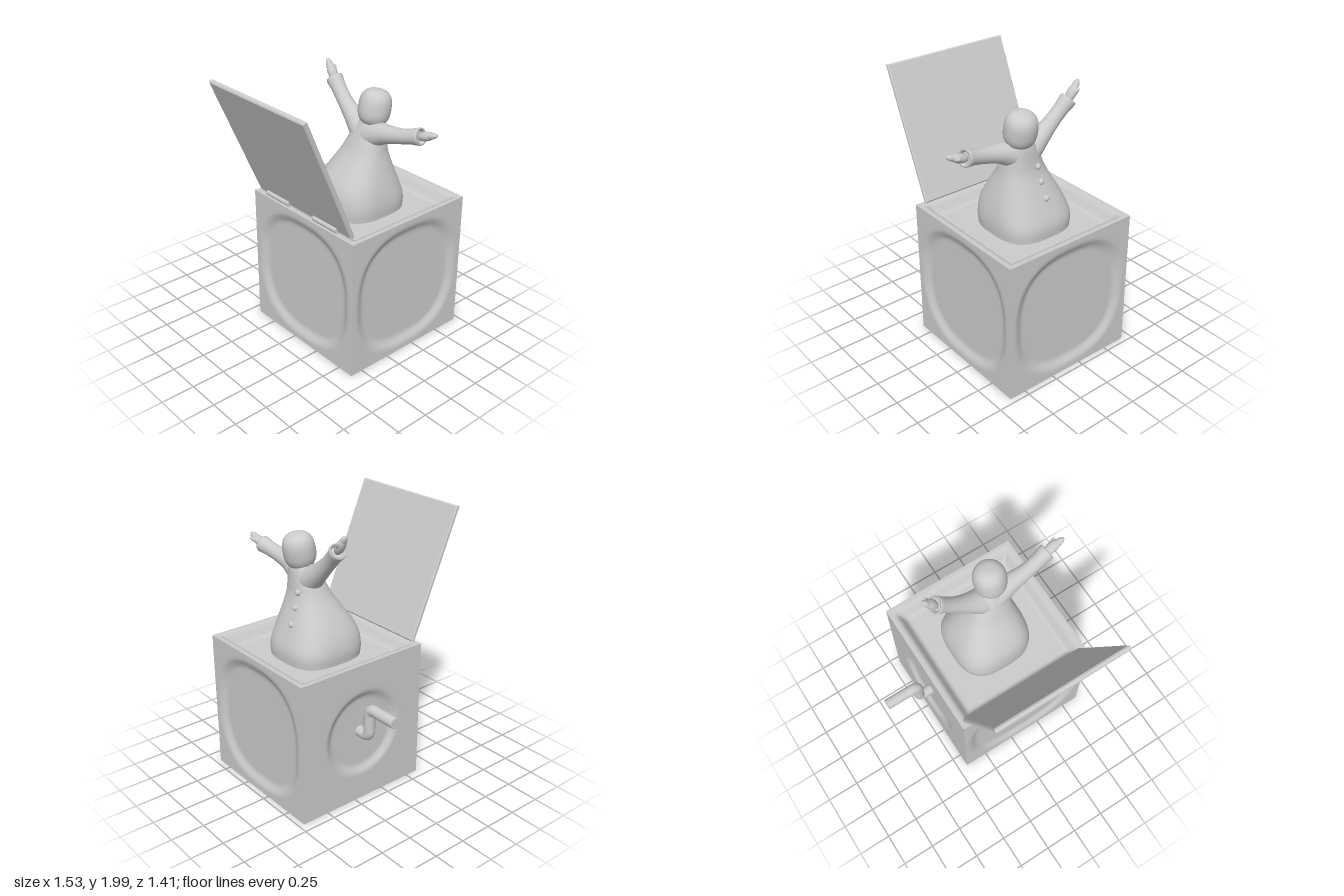
import * as THREE from 'three';

const grey = new THREE.MeshStandardMaterial({ color: 0xcccccc });
const V = (x, y, z) => new THREE.Vector3(x, y, z);

function part(parent, name, geometry, x = 0, y = 0, z = 0) {
  const mesh = new THREE.Mesh(geometry, grey);
  mesh.name = name;
  mesh.position.set(x, y, z);
  parent.add(mesh);
  return mesh;
}

// Smooth closed skin through rings of points, capped at both ends
function loft(rows) {
  const n = rows[0].length, pos = [], idx = [];
  rows.forEach(row => row.forEach(p => pos.push(p.x, p.y, p.z)));
  for (let i = 0; i < rows.length - 1; i++) {
    for (let j = 0; j < n; j++) {
      const k = (j + 1) % n, a = i * n + j, b = i * n + k;
      idx.push(a, b, a + n, b, b + n, a + n);
    }
  }
  [rows[0], rows[rows.length - 1]].forEach((row, end) => {
    const base = pos.length / 3, mid = V(0, 0, 0);
    row.forEach(p => { mid.addScaledVector(p, 1 / n); pos.push(p.x, p.y, p.z); });
    pos.push(mid.x, mid.y, mid.z);
    for (let j = 0; j < n; j++) {
      const a = base + j, b = base + (j + 1) % n;
      if (end) idx.push(a, b, base + n); else idx.push(b, a, base + n);
    }
  });
  const g = new THREE.BufferGeometry();
  g.setAttribute('position', new THREE.Float32BufferAttribute(pos, 3));
  g.setIndex(idx);
  g.computeVertexNormals();
  return g;
}

// Round sweep along a curve; stations are [t, radius]
function sweep(curve, stations, n = 28) {
  const frames = curve.computeFrenetFrames(100);
  return loft(stations.map(([t, r]) => {
    const f = Math.round(t * 100), c = curve.getPointAt(t);
    return Array.from({ length: n }, (_, j) => {
      const a = j / n * Math.PI * 2;
      return c.clone().addScaledVector(frames.normals[f], r * Math.cos(a))
        .addScaledVector(frames.binormals[f], r * Math.sin(a));
    });
  }));
}

// Square face of the box pushed inwards by a depth rule
const SIDE = 1.06;
function panel(depth) {
  const g = new THREE.PlaneGeometry(SIDE, SIDE, 60, 60);
  const p = g.attributes.position;
  for (let i = 0; i < p.count; i++) p.setZ(i, SIDE / 2 - depth(Math.abs(p.getX(i)), Math.abs(p.getY(i))));
  g.computeVertexNormals();
  return g;
}
const dent = (outer, inner, deep, power) => (u, v) =>
  deep * (1 - THREE.MathUtils.smoothstep((u ** power + v ** power) ** (1 / power), inner, outer));

function makeBox() {
  const box = new THREE.Group();
  box.name = 'box';
  box.position.set(0.1, SIDE / 2, -0.18);
  const wide = panel(dent(0.49, 0.41, 0.03, 2.6));
  part(box, 'frontPanel', wide);
  part(box, 'backPanel', wide).rotation.y = Math.PI;
  part(box, 'leftPanel', wide).rotation.y = Math.PI / 2;
  part(box, 'rightPanel', panel(dent(0.33, 0.26, 0.03, 2))).rotation.y = -Math.PI / 2;
  const tray = (u, v) => 0.085 * (1 - THREE.MathUtils.smoothstep(Math.max(u, v), 0.42, 0.49));
  part(box, 'topTray', panel(tray)).rotation.x = -Math.PI / 2;
  part(box, 'bottom', panel(() => 0)).rotation.x = Math.PI / 2;
  return box;
}

function makeLid() {
  const lid = new THREE.Group();
  lid.name = 'lidAssembly';
  // Bevelled board leaning forwards
  const b = 0.009, w = 0.49 - b, h = 0.4975 - b;
  const outline = new THREE.Shape([[-w, -h], [w, -h], [w, h], [-w, h]].map(p => new THREE.Vector2(...p)));
  const board = new THREE.ExtrudeGeometry(outline,
    { depth: 0.034 - 2 * b, bevelSize: b, bevelThickness: b, bevelSegments: 1 });
  board.translate(0, 0, b - 0.017);
  part(lid, 'lid', board, 0.09, 1.532, 0.497).rotation.x = 0.403;
  // Hinge barrels
  for (const x of [-0.175, 0.33]) {
    part(lid, 'hinge', new THREE.CylinderGeometry(0.022, 0.022, 0.24, 16), x, 1.085, 0.325).rotation.z = Math.PI / 2;
  }
  return lid;
}

function makeCrank() {
  const z = -0.19, path = new THREE.CurvePath(), r = 0.05;
  const pts = [V(-0.38, 0.54, z), V(-0.505, 0.54, z), V(-0.505, 0.758, z), V(-0.765, 0.758, z)];
  const toward = (a, b) => a.clone().addScaledVector(b.clone().sub(a).normalize(), r);
  let from = pts[0];
  for (let i = 1; i < 3; i++) {
    const before = toward(pts[i], pts[i - 1]), after = toward(pts[i], pts[i + 1]);
    path.add(new THREE.LineCurve3(from, before));
    path.add(new THREE.QuadraticBezierCurve3(before, pts[i], after));
    from = after;
  }
  path.add(new THREE.LineCurve3(from, pts[3]));
  return sweep(path, Array.from({ length: 51 }, (_, i) => [i / 50, 0.04]), 24);
}

// Robe: rounded-square base narrowing to the neck
function makeRobe() {
  const rings = [ // y, centre x, centre z, half width, half depth, squareness
    [0.965, 0.09, -0.19, 0.28, 0.285, 3], [1.07, 0.09, -0.187, 0.285, 0.287, 3],
    [1.2, 0.1, -0.178, 0.255, 0.25, 2.8], [1.4, 0.13, -0.202, 0.175, 0.15, 2.4],
    [1.5, 0.145, -0.217, 0.145, 0.118, 2.2], [1.6, 0.16, -0.235, 0.112, 0.092, 2],
    [1.68, 0.175, -0.25, 0.06, 0.055, 2]];
  const centres = new THREE.CatmullRomCurve3(rings.map(r => V(r[1], r[0], r[2])), false, 'catmullrom');
  const sizes = new THREE.CatmullRomCurve3(rings.map(r => V(r[3], r[4], r[5])), false, 'catmullrom');
  const rows = [];
  for (let i = 0; i <= 36; i++) {
    const c = centres.getPoint(i / 36), s = sizes.getPoint(i / 36);
    rows.push(Array.from({ length: 64 }, (_, j) => {
      const a = j / 64 * Math.PI * 2, x = Math.cos(a), y = Math.sin(a);
      const k = (Math.abs(x) ** s.z + Math.abs(y) ** s.z) ** (-1 / s.z);
      return V(c.x + s.x * k * x, c.y, c.z - s.y * k * y);
    }));
  }
  return loft(rows);
}

function makeArm(name, points, tip) {
  const arm = new THREE.Group();
  arm.name = name;
  // Sleeve flaring into the shoulder, with a hollow cuff
  const curve = new THREE.CatmullRomCurve3(points);
  part(arm, 'sleeve', sweep(curve, [[0, 0.1], [0.12, 0.098], [0.25, 0.084], [0.4, 0.068], [0.55, 0.058],
    [0.7, 0.053], [0.84, 0.053], [0.93, 0.058], [0.98, 0.061], [1, 0.058], [1, 0.048], [0.95, 0.042]]));
  // Mitten with fingers and thumb
  const wrist = points[points.length - 1], hand = new THREE.Group();
  hand.name = 'hand';
  hand.position.copy(wrist);
  hand.quaternion.setFromUnitVectors(V(0, 1, 0), tip.clone().sub(wrist).normalize());
  const len = tip.distanceTo(wrist), ball = new THREE.SphereGeometry(1, 24, 16);
  part(hand, 'palm', ball, 0, len * 0.3, 0).scale.set(0.032, len * 0.5, 0.037);
  part(hand, 'fingers', ball, 0, len * 0.63, 0.004).scale.set(0.023, len * 0.37, 0.026);
  const thumb = part(hand, 'thumb', ball, 0, len * 0.42, -0.028);
  thumb.scale.set(0.015, 0.036, 0.014);
  thumb.rotation.x = -0.4;
  arm.add(hand);
  return arm;
}

function makeFigure() {
  const figure = new THREE.Group();
  figure.name = 'figure';
  part(figure, 'robe', makeRobe());
  // Blunt, capsule-like head tipped towards the back of the box
  const profile = [];
  for (let i = 0; i <= 32; i++) {
    const a = (i / 32 - 0.5) * Math.PI, c = Math.max(0, Math.cos(a)), s = Math.sin(a);
    profile.push(new THREE.Vector2(0.115 * c ** 0.75, 0.13 * Math.sign(s) * Math.abs(s) ** 0.75));
  }
  part(figure, 'head', new THREE.LatheGeometry(profile, 40), 0.173, 1.728, -0.254).rotation.x = -0.18;
  figure.add(makeArm('rightArm', [V(0.15, 1.5, -0.222), V(0.02, 1.585, -0.23), V(-0.12, 1.705, -0.235),
    V(-0.245, 1.83, -0.25)], V(-0.325, 1.95, -0.26)));
  figure.add(makeArm('leftArm', [V(0.14, 1.52, -0.222), V(0.28, 1.575, -0.215), V(0.45, 1.61, -0.22),
    V(0.625, 1.655, -0.247)], V(0.76, 1.705, -0.255)));
  // Buttons down the chest
  for (const [x, y, z] of [[0.09, 1.46, -0.332], [0.083, 1.355, -0.36], [0.075, 1.245, -0.405]]) {
    part(figure, 'button', new THREE.SphereGeometry(0.023, 20, 14), x, y, z);
  }
  return figure;
}

export function createModel() {
  const model = new THREE.Group();
  model.name = 'popUpToyBox';
  model.add(makeBox(), makeLid(), makeFigure());
  part(model, 'crank', makeCrank());
  return model;
}
